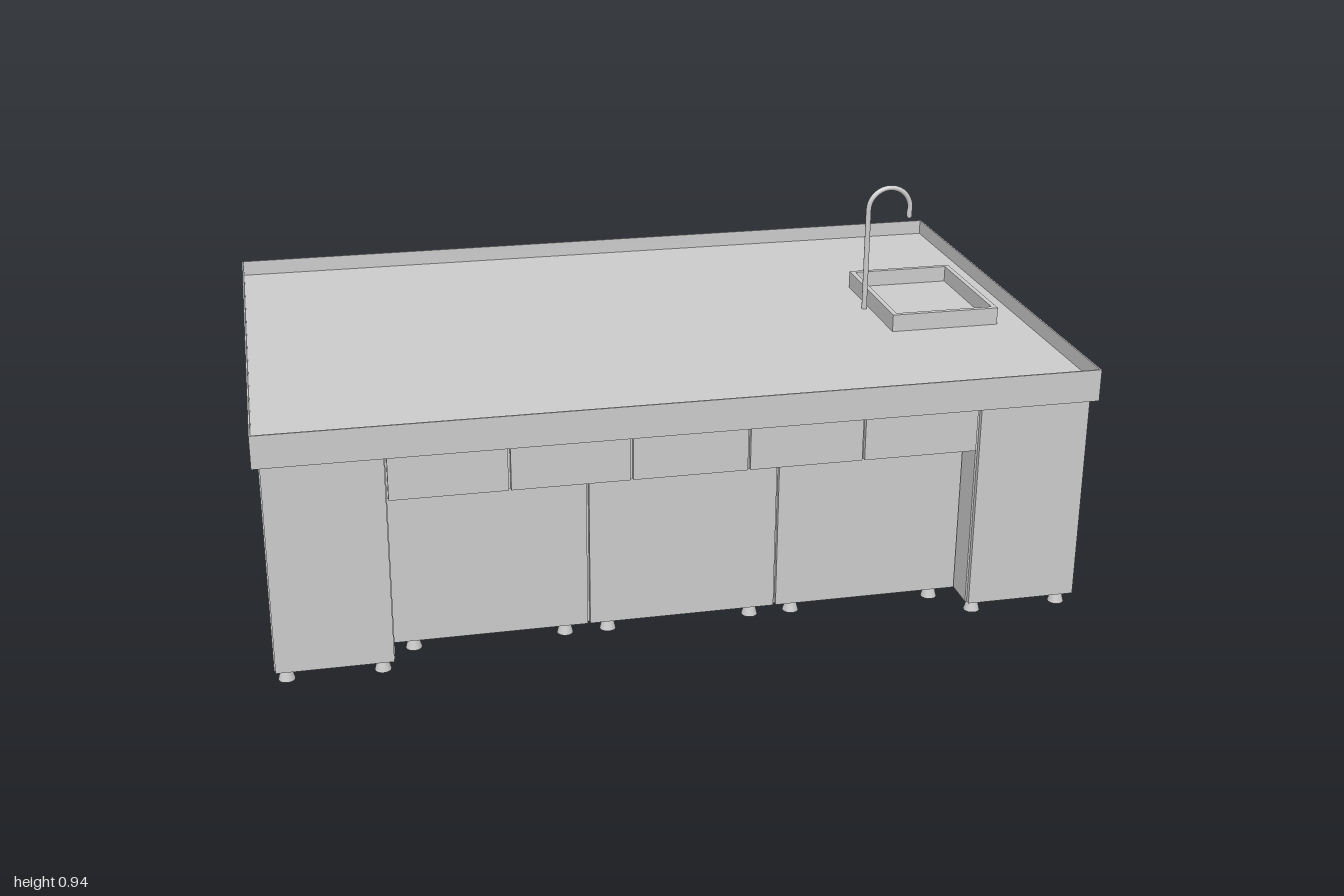
import * as THREE from 'three';

const material = new THREE.MeshStandardMaterial({ color: 0xcccccc });

// Adds a box given its minimum and maximum corners
function box(parent, name, [x0, y0, z0], [x1, y1, z1]) {
  const mesh = new THREE.Mesh(new THREE.BoxGeometry(x1 - x0, y1 - y0, z1 - z0), material);
  mesh.name = name;
  mesh.position.set((x0 + x1) / 2, (y0 + y1) / 2, (z0 + z1) / 2);
  parent.add(mesh);
}

// Adds a rectangular upright frame, open above and below, with walls of thickness t
function frame(parent, name, x0, x1, z0, z1, y0, y1, t) {
  const rect = (P, a, b, c, d) =>
    new P().moveTo(a, c).lineTo(b, c).lineTo(b, d).lineTo(a, d).closePath();
  const shape = rect(THREE.Shape, x0, x1, -z1, -z0);
  shape.holes.push(rect(THREE.Path, x0 + t, x1 - t, -z1 + t, -z0 - t));
  const geometry = new THREE.ExtrudeGeometry(shape, { depth: y1 - y0, bevelEnabled: false });
  geometry.rotateX(-Math.PI / 2).translate(0, y0, 0);
  const mesh = new THREE.Mesh(geometry, material);
  mesh.name = name;
  parent.add(mesh);
}

const BASE = 0.035, TOP = 0.56, SPLIT = 0.445, INNER = 0.21;
const FRONT = 0.625, RECESS = 0.535, DOOR = 0.013, GAP = 0.003;
const footGeometry = new THREE.CylinderGeometry(0.011, 0.02, BASE, 16);

function feet(parent, x0, x1, zFront) {
  for (const x of [x0, x1]) for (const z of [0.26, zFront]) {
    const foot = new THREE.Mesh(footGeometry, material);
    foot.name = 'foot';
    foot.position.set(x, BASE / 2, z);
    parent.add(foot);
  }
}

// A carcass with a slab door or drawer front standing just clear of it
function unit(parent, name, x0, x1, y0, y1, zFront) {
  box(parent, name + 'Carcass', [x0, y0, INNER], [x1, y1, zFront - DOOR - 0.003]);
  box(parent, name + 'Front', [x0 + GAP, y0 + GAP, zFront - DOOR], [x1 - GAP, y1 - GAP, zFront]);
}

// One long run of cabinets, facing +z
function cabinetRow(name) {
  const row = new THREE.Group();
  row.name = name;
  // Tall end cabinets
  for (const [x0, x1] of [[-0.985, -0.705], [0.705, 0.985]]) {
    unit(row, 'endCabinet', x0, x1, BASE, TOP, FRONT);
    feet(row, x0 + 0.028, x1 - 0.028, 0.585);
  }
  // Recessed door cabinets
  const doors = [-0.705, -0.23, 0.235, 0.705];
  for (let i = 0; i < 3; i++) {
    unit(row, 'doorCabinet', doors[i], doors[i + 1], BASE, SPLIT, RECESS);
    feet(row, doors[i] + 0.053, doors[i + 1] - 0.053, 0.495);
  }
  // Overhanging drawers
  const drawers = [-0.705, -0.425, -0.14, 0.14, 0.42, 0.705];
  for (let i = 0; i < 5; i++) unit(row, 'drawer', drawers[i], drawers[i + 1], SPLIT, TOP, 0.618);
  return row;
}

export function createModel() {
  const model = new THREE.Group();
  model.name = 'kitchenIsland';

  // Cabinet runs on both long sides, joined at one end
  const back = cabinetRow('backCabinets');
  back.rotation.y = Math.PI;
  model.add(cabinetRow('frontCabinets'), back);
  box(model, 'endJoiningCabinet', [0.57, 0.032, -INNER + 0.002], [0.985, TOP, INNER - 0.002]);

  // Worktop with a thin raised lip
  box(model, 'worktop', [-1, TOP, -0.637], [1, 0.6, 0.637]);
  frame(model, 'worktopLip', -1, 1, -0.637, 0.637, 0.6, 0.64, 0.004);

  // Sink
  const sink = new THREE.Group();
  sink.name = 'sink';
  frame(sink, 'sinkWalls', 0.635, 0.92, -0.193, 0.177, 0.6, 0.645, 0.013);
  box(sink, 'sinkFloor', [0.646, 0.6, -0.182], [0.909, 0.603, 0.166]);
  model.add(sink);

  // Gooseneck tap
  const path = new THREE.CurvePath();
  const points = [new THREE.Vector3(0.62, 0.6, -0.012), new THREE.Vector3(0.62, 0.73, -0.012)];
  for (let i = 0; i <= 12; i++) {
    const a = Math.PI * (1 - i / 12 * 1.08);
    points.push(new THREE.Vector3(0.677 + 0.057 * Math.cos(a), 0.872 + 0.057 * Math.sin(a), -0.012));
  }
  points.push(new THREE.Vector3(0.733, 0.85, -0.012));
  for (let i = 0; i < 2; i++) path.add(new THREE.LineCurve3(points[i], points[i + 1]));
  path.add(new THREE.CatmullRomCurve3(points.slice(2)));
  const tap = new THREE.Mesh(new THREE.TubeGeometry(path, 80, 0.007, 12), material);
  tap.name = 'tap';
  model.add(tap);
  const tip = new THREE.Mesh(new THREE.SphereGeometry(0.007, 12, 8), material);
  tip.name = 'tapTip';
  tip.position.copy(points[points.length - 1]);
  model.add(tip);

  return model;
}
